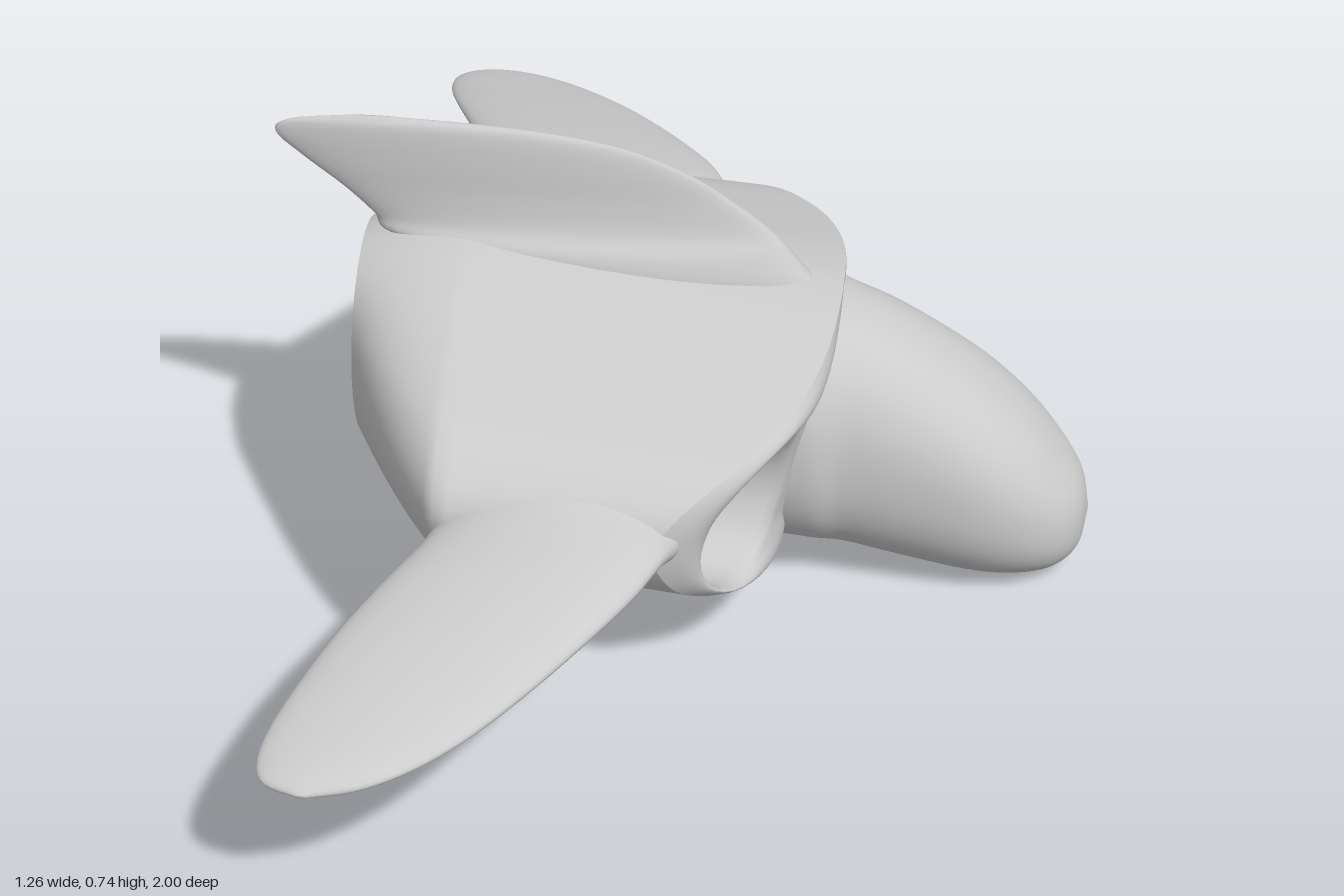
import * as THREE from 'three';

const V = (x, y, z) => new THREE.Vector3(x, y, z);
const lerp = THREE.MathUtils.lerp;

// Skin a list of equal-length closed rings; the ends may be closed with a fan.
function loft(rings, capStart = false, capEnd = false) {
  const n = rings[0].length, pos = [], idx = [];
  rings.forEach(r => r.forEach(p => pos.push(p.x, p.y, p.z)));
  for (let i = 0; i < rings.length - 1; i++) {
    for (let j = 0; j < n; j++) {
      const a = i * n + j, b = i * n + (j + 1) % n;
      idx.push(a, b, a + n, b, b + n, a + n);
    }
  }
  const cap = (row, flip) => {
    const c = V(0, 0, 0);
    rings[row].forEach(p => c.addScaledVector(p, 1 / n));
    const k = pos.length / 3;
    pos.push(c.x, c.y, c.z);
    for (let j = 0; j < n; j++) {
      const a = row * n + j, b = row * n + (j + 1) % n;
      if (flip) idx.push(k, b, a); else idx.push(k, a, b);
    }
  };
  if (capStart) cap(0, true);
  if (capEnd) cap(rings.length - 1, false);
  const g = new THREE.BufferGeometry();
  g.setAttribute('position', new THREE.Float32BufferAttribute(pos, 3));
  g.setIndex(idx);
  g.computeVertexNormals();
  return g;
}

// Smoothly interpolate rows of numbers.
function smoothRows(rows, steps) {
  const a = new THREE.CatmullRomCurve3(rows.map(r => V(r[0], r[1], r[2])), false, 'catmullrom', 0.5);
  const b = new THREE.CatmullRomCurve3(rows.map(r => V(r[3], r[4] || 0, 0)), false, 'catmullrom', 0.5);
  const out = [];
  for (let i = 0; i <= steps; i++) {
    const p = a.getPoint(i / steps), q = b.getPoint(i / steps);
    out.push([p.x, p.y, p.z, q.x, q.y]);
  }
  return out;
}

// Lens-shaped blade: rows of [span, leading x, trailing x, half thickness, offset].
function blade(rows, place) {
  const n = 40;
  return loft(smoothRows(rows, 40).map(([s, lead, trail, t, off]) => {
    const ring = [];
    for (let j = 0; j < n; j++) {
      const a = j / n * Math.PI * 2;
      const x = (lead + trail) / 2 + (lead - trail) / 2 * Math.cos(a);
      ring.push(place(x, s, off + Math.max(t, 0.002) * Math.sin(a)));
    }
    return ring;
  }), true, true);
}

export function createModel() {
  const group = new THREE.Group();
  const mat = new THREE.MeshStandardMaterial({ color: 0xcccccc, side: THREE.DoubleSide });
  const add = (name, geo) => {
    const m = new THREE.Mesh(geo, mat);
    m.name = name;
    group.add(m);
  };

  // Widest cross-section of the hull as [z, y], top to bottom on one side
  const half = [[0, 0.56], [0.1, 0.545], [0.2, 0.512], [0.3, 0.477], [0.4, 0.437], [0.465, 0.385],
    [0.485, 0.32], [0.455, 0.235], [0.4, 0.178], [0.3, 0.13], [0.16, 0.09], [0, 0.075]];
  const loop = [...half, ...half.slice(1, -1).reverse().map(([z, y]) => [-z, y])];
  const N = 88;
  const outline = new THREE.CatmullRomCurve3(loop.map(([z, y]) => V(0, y, z)), true, 'catmullrom', 0.5)
    .getPoints(N).slice(0, N);

  // Swept-back front of the hull, and its height change along the length
  const front = (z, y) => 0.19 - 0.2 * Math.pow(Math.abs(z) / 0.49, 3) + 0.2 * (y - 0.32);
  const shape = (x, y) => {
    const t = (y - 0.075) / 0.485, u = (x + 0.33) / 0.53;
    return y + lerp(0.085, -0.025, u) * (1 - t) ** 2 + lerp(0.003, -0.06, u) * t * t;
  };
  const rearPoint = (j, r, x) => {
    const a = j / N * Math.PI * 2;
    return V(x, 0.37 + r * Math.cos(a), r * Math.sin(a));
  };

  // Hull: round outlet, widening to the full section, ending at the swept front
  const hull = [];
  for (let i = 0; i <= 10; i++) {
    const u = i / 10, k = u * (1.3 - 0.3 * u), x = lerp(-0.5, -0.33, u);
    hull.push(outline.map((p, j) => rearPoint(j, 0.17, x).lerp(V(x, shape(x, p.y), p.z), k)));
  }
  for (let i = 1; i <= 16; i++) {
    hull.push(outline.map(p => {
      const x = lerp(-0.33, front(p.z, p.y), i / 16);
      return V(x, shape(x, p.y), p.z);
    }));
  }
  add('hull', loft(hull));

  // Tail outlet
  const outlet = [[-0.5, 0.17], [-0.498, 0.162], [-0.46, 0.152], [-0.38, 0.135], [-0.29, 0.11], [-0.22, 0.07]];
  add('tailOutlet', loft(outlet.map(([x, r]) => outline.map((p, j) => rearPoint(j, r, x))), false, true));

  // Air intakes: rounded lip from the hull's front edge into an oval duct
  const edge = hull[hull.length - 1];
  for (const side of [1, -1]) {
    const rim = edge.slice(0, N / 2 + 1).map(p => V(p.x, p.y, Math.abs(p.z)));
    const top = rim[0], bottom = rim[rim.length - 1];
    for (let i = 1; i < 24; i++) rim.push(bottom.clone().lerp(top, i / 24));
    const mouth = rim.map(p => {
      const a = Math.atan2((p.y - 0.275) / 0.115, (p.z - 0.315) / 0.1);
      const z = 0.315 + 0.1 * Math.cos(a), y = 0.275 + 0.118 * Math.sin(a);
      return V(front(z, y), y, z);
    });
    const rings = [];
    for (let i = 0; i <= 10; i++) {
      const k = i / 10;
      rings.push(rim.map((p, j) => {
        const q = p.clone().lerp(mouth[j], k);
        q.x += 0.02 * Math.sin(Math.PI * k);
        return q;
      }));
    }
    for (const [back, s] of [[0.015, 0.98], [0.06, 0.95], [0.13, 0.9], [0.2, 0.78], [0.25, 0.5]]) {
      rings.push(mouth.map(p => V(p.x - back, lerp(0.275, p.y, s), lerp(0.315, p.z, s))));
    }
    rings.forEach(r => r.forEach(p => { p.z *= side; }));
    add(side > 0 ? 'intakeFront' : 'intakeBack', loft(rings, false, true));
  }

  // Nose: rows of [x, bottom, top, half width]
  const nose = smoothRows([[-0.1, 0.15, 0.46, 0.1], [0.08, 0.075, 0.505, 0.175], [0.19, 0.057, 0.487, 0.185],
    [0.25, 0.047, 0.465, 0.168], [0.33, 0.028, 0.428, 0.163], [0.45, 0.005, 0.348, 0.157],
    [0.53, 0.003, 0.275, 0.138], [0.585, 0.015, 0.207, 0.105], [0.618, 0.045, 0.155, 0.06],
    [0.63, 0.098, 0.102, 0.003]], 60);
  add('nose', loft(nose.map(([x, lo, hi, w]) => {
    const ring = [];
    for (let j = 0; j < 56; j++) {
      const a = j / 56 * Math.PI * 2, c = Math.cos(a), s = Math.sin(a);
      const f = v => Math.sign(v) * Math.pow(Math.abs(v), 0.88);
      ring.push(V(x, (lo + hi) / 2 + (hi - lo) / 2 * f(c), w * f(s)));
    }
    return ring;
  }), true, true));

  // Top fin
  add('topFin', blade([[0.45, 0.235, 0, 0.03, 0], [0.5, 0.19, -0.3, 0.065, 0], [0.545, 0.155, -0.46, 0.06, 0],
    [0.575, 0.13, -0.485, 0.036, 0], [0.62, 0.075, -0.53, 0.024, 0], [0.67, 0, -0.59, 0.019, 0],
    [0.71, -0.1, -0.63, 0.015, 0], [0.733, -0.24, -0.61, 0.011, 0], [0.745, -0.44, -0.52, 0.003, 0]],
  (x, s, t) => V(x, s, t)));

  // Drooping swept wings
  const wing = [[0.42, 0.05, -0.3, 0.09, 0.31], [0.47, 0.03, -0.332, 0.066, 0.318], [0.52, 0.012, -0.345, 0.046, 0.327],
    [0.6, -0.022, -0.385, 0.038, 0.321], [0.7, -0.085, -0.435, 0.034, 0.305], [0.8, -0.157, -0.475, 0.029, 0.287],
    [0.88, -0.225, -0.502, 0.024, 0.271], [0.94, -0.292, -0.51, 0.019, 0.26], [0.98, -0.36, -0.495, 0.013, 0.253],
    [1, -0.43, -0.445, 0.003, 0.25]];
  for (const side of [1, -1]) {
    add(side > 0 ? 'wingFront' : 'wingBack', blade(wing, (x, s, t) => V(x, t, s * side)));
  }
  return group;
}
